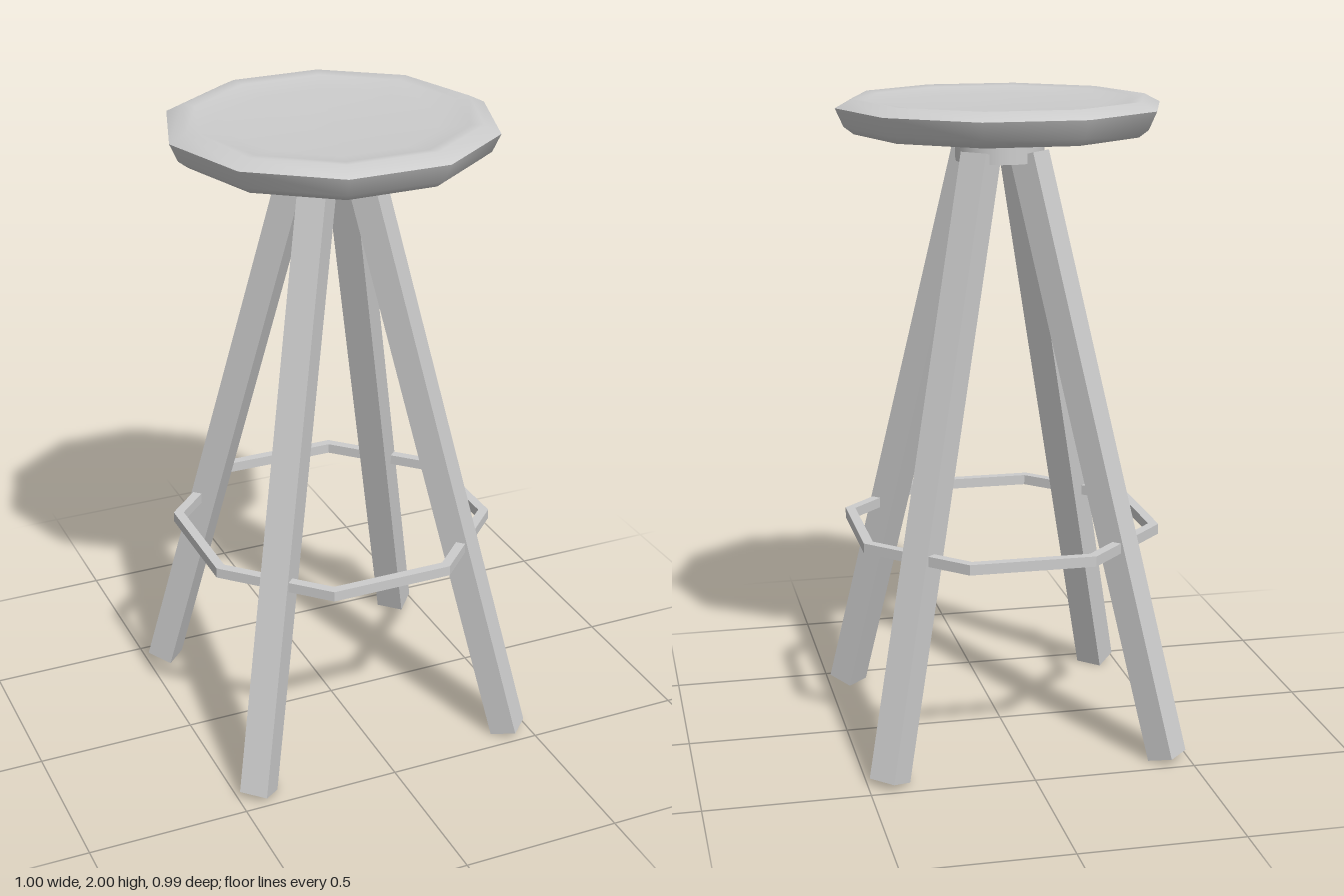
import * as THREE from 'three';

const grey = new THREE.MeshStandardMaterial({ color: 0xcccccc });
grey.name = 'light grey';

function add(parent, name, geometry) {
  const mesh = new THREE.Mesh(geometry, grey);
  mesh.name = name;
  parent.add(mesh);
  return mesh;
}

// Ten-sided smooth lathe with a corner on the x axis
function decagonLathe(profile) {
  const points = profile.map(([r, y]) => new THREE.Vector2(r, y));
  return new THREE.LatheGeometry(points, 10, Math.PI / 2);
}

// Regular octagon with flats facing the axes and the diagonals
function octagon(radius) {
  return Array.from({ length: 8 }, (_, i) => {
    const a = (i + 0.5) * Math.PI / 4;
    return new THREE.Vector2(radius * Math.cos(a), radius * Math.sin(a));
  });
}

export function createModel() {
  const stool = new THREE.Group();
  stool.name = 'stool';

  // Seat: rounded underside and a shallow dished top, creased at the rim
  const seat = new THREE.Group();
  seat.name = 'seat';
  stool.add(seat);
  add(seat, 'seatUnderside', decagonLathe([[0, 1.895], [0.42, 1.895], [0.445, 1.897], [0.475, 1.92], [0.5, 1.975]]));
  add(seat, 'seatTop', decagonLathe([[0.5, 1.975], [0.45, 2], [0.41, 1.995], [0.32, 1.98], [0, 1.977]]));

  // Hub under the seat
  const hub = add(stool, 'hub', new THREE.CylinderGeometry(0.135, 0.135, 0.09, 32));
  hub.position.y = 1.855;

  // Four square legs splayed along the diagonals
  const run = 0.507, rise = 1.823;
  const legGeometry = new THREE.BoxGeometry(0.09, Math.hypot(run, rise), 0.085);
  for (let i = 0; i < 4; i++) {
    const pivot = new THREE.Group();
    pivot.name = 'legPivot';
    pivot.rotation.y = (i + 0.5) * Math.PI / 2;
    const leg = add(pivot, 'leg', legGeometry);
    leg.position.set(0, 0.923, 0.3585);
    leg.rotation.x = -Math.atan2(run, rise);
    stool.add(pivot);
  }

  // Octagonal footrest ring passing through the legs
  const shape = new THREE.Shape(octagon(0.502));
  shape.holes.push(new THREE.Path(octagon(0.47).reverse()));
  const ringGeometry = new THREE.ExtrudeGeometry(shape, { depth: 0.032, bevelEnabled: false });
  ringGeometry.rotateX(-Math.PI / 2);
  add(stool, 'footrestRing', ringGeometry).position.y = 0.652;

  return stool;
}
